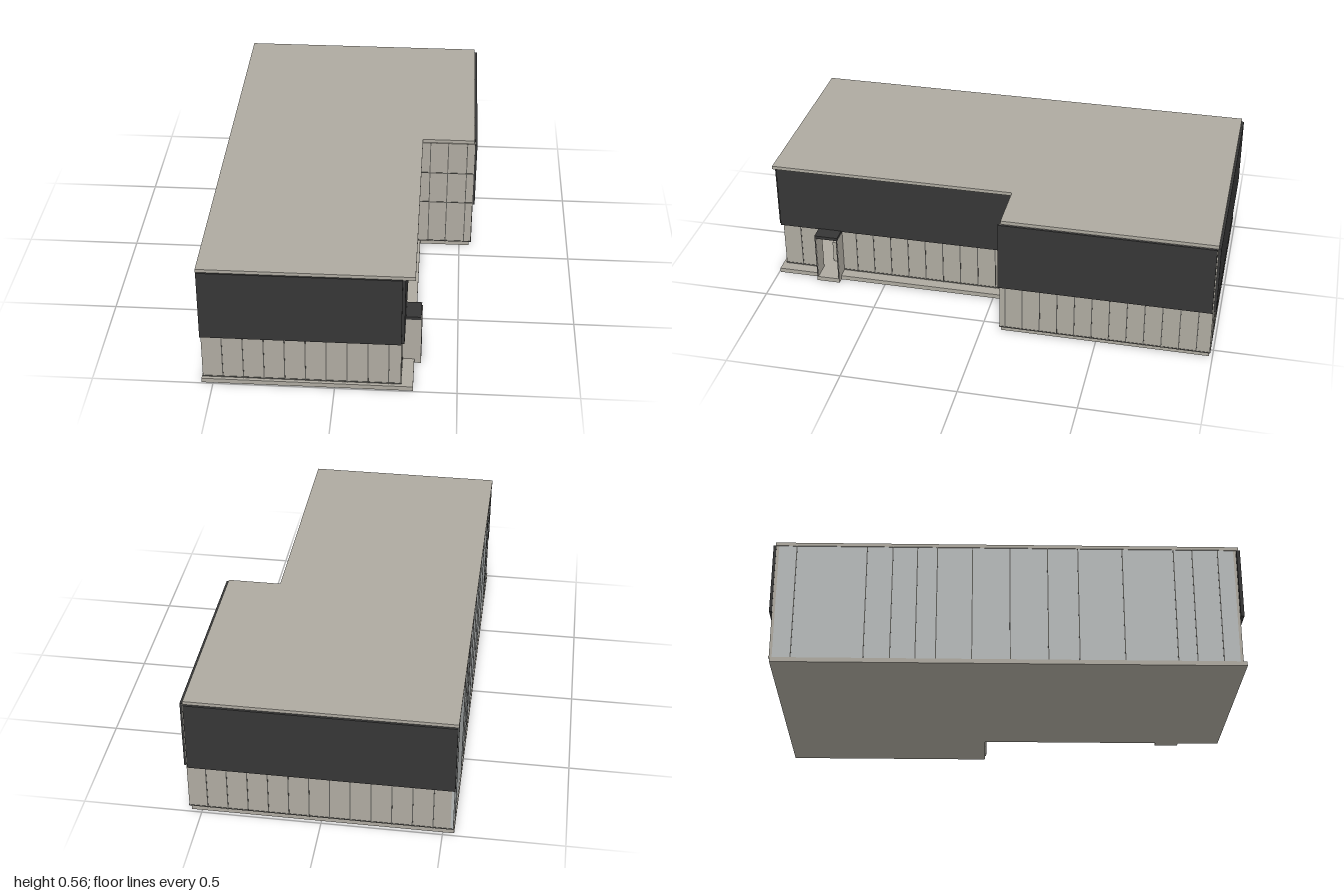
import * as THREE from 'three';

export function createModel() {
  const model = new THREE.Group();
  const mat = (name, color) => {
    const m = new THREE.MeshStandardMaterial({ color });
    m.name = name;
    return m;
  };
  const stone = mat('warm grey', 0xaeaaa0);
  const dark = mat('charcoal cladding', 0x363636);
  const frame = mat('frame grey', 0x5e5d59);
  const blueGrey = mat('cool grey wall', 0xb6baba);
  const green = mat('leaf green', 0x4f7a35);
  green.side = THREE.DoubleSide;

  // Box given by its minimum and maximum corners
  function box(name, material, x0, x1, y0, y1, z0, z1, parent = model) {
    const mesh = new THREE.Mesh(new THREE.BoxGeometry(x1 - x0, y1 - y0, z1 - z0), material);
    mesh.position.set((x0 + x1) / 2, (y0 + y1) / 2, (z0 + z1) / 2);
    mesh.name = name;
    parent.add(mesh);
    return mesh;
  }

  // L-shaped plate: main block plus the wing on the +x side
  function plate(name, xMain, xWing, zNotch, y0, y1, zBack, zFront) {
    const pts = [[-0.547, -zFront], [xMain, -zFront], [xMain, -zNotch], [xWing, -zNotch],
      [xWing, -zBack], [-0.547, -zBack]].map(p => new THREE.Vector2(...p));
    const geo = new THREE.ExtrudeGeometry(new THREE.Shape(pts), { depth: y1 - y0, bevelEnabled: false });
    geo.rotateX(-Math.PI / 2);
    const mesh = new THREE.Mesh(geo, stone);
    mesh.position.y = y0;
    mesh.name = name;
    model.add(mesh);
  }
  plate('floorSlab', 0.32, 0.545, -0.085, 0, 0.02, -0.985, 0.995);
  plate('roofSlab', 0.32, 0.55, -0.085, 0.545, 0.56, -0.99, 0.99);

  // Panelled wall along x or z; side is the outward direction, at the outer face position
  function wall(name, material, axis, side, at, a, b, y1, seams, rails = []) {
    const group = new THREE.Group();
    group.name = name;
    model.add(group);
    const piece = (n, m, s0, s1, y0, yTop, depth, proud) => {
      const p = [at - side * depth, at + side * proud].sort((u, v) => u - v);
      if (axis === 'x') box(n, m, s0, s1, y0, yTop, p[0], p[1], group);
      else box(n, m, p[0], p[1], y0, yTop, s0, s1, group);
    };
    piece('wallPanel', material, a, b, 0.02, y1, 0.012, 0);
    for (const s of seams) piece('mullion', frame, s - 0.002, s + 0.002, 0.02, y1, 0.002, 0.002);
    for (const r of rails) piece('rail', frame, a, b, r - 0.002, r + 0.002, 0.002, 0.002);
  }
  const steps = (start, step, count) => Array.from({ length: count }, (_, i) => start + i * step);

  // Glazed walls
  wall('frontWall', stone, 'x', 1, 0.98, -0.543, 0.27, 0.545, steps(-0.46, 0.085, 9), [0.024]);
  wall('backWall', stone, 'x', -1, -0.988, -0.543, 0.553, 0.545, steps(-0.46, 0.085, 12), [0.024]);
  wall('sideWallFront', stone, 'z', 1, 0.27, 0.81, 0.98, 0.545, [0.9], [0.024]);
  wall('sideWallRear', stone, 'z', 1, 0.27, -0.085, 0.705, 0.545, steps(0, 0.08, 9), [0.024]);
  wall('wingSideWall', stone, 'z', 1, 0.553, -0.988, -0.08, 0.545, steps(-0.93, 0.075, 12), [0.024]);
  wall('wingFrontWall', stone, 'x', 1, -0.08, 0.27, 0.553, 0.545,
    [0.355, 0.435, 0.52], [0.024, 0.235, 0.39]);
  wall('plainSideWall', blueGrey, 'z', -1, -0.543, -0.988, 0.98, 0.545,
    [-0.9, -0.6, -0.49, -0.385, -0.3, -0.15, 0.01, 0.17, 0.3, 0.49, 0.71, 0.79, 0.9]);

  // Dark upper cladding
  box('frontCladding', dark, -0.545, 0.27, 0.232, 0.546, 0.982, 0.997);
  box('mainSideCladding', dark, 0.27, 0.282, 0.232, 0.546, -0.075, 0.988);
  box('wingSideCladding', dark, 0.553, 0.563, 0.232, 0.546, -0.985, -0.075);
  box('backCladding', dark, -0.545, 0.548, 0.232, 0.546, -1.0, -0.988);

  // Entrance porch
  box('porchStep', stone, 0.32, 0.348, 0, 0.02, 0.705, 0.81);
  box('porchCanopy', dark, 0.27, 0.345, 0.222, 0.236, 0.705, 0.81);
  for (const z of [0.705, 0.804]) box('porchSide', stone, 0.262, 0.345, 0.02, 0.222, z, z + 0.006);
  for (const z of [0.706, 0.805]) box('porchPost', frame, 0.345, 0.348, 0.02, 0.222, z, z + 0.004);

  // Potted plant inside the entrance
  box('planter', stone, 0.16, 0.21, 0.02, 0.12, 0.725, 0.775);
  const plant = new THREE.Group();
  plant.name = 'plant';
  plant.position.set(0.185, 0.12, 0.75);
  model.add(plant);
  for (let i = 0; i < 8; i++) {
    const leaf = new THREE.Mesh(new THREE.ConeGeometry(0.01, 0.1, 4).translate(0, 0.05, 0), green);
    leaf.name = 'leaf';
    leaf.rotation.set(0, i * Math.PI / 4, 0.25 + 0.15 * (i % 2));
    plant.add(leaf);
  }
  return model;
}
